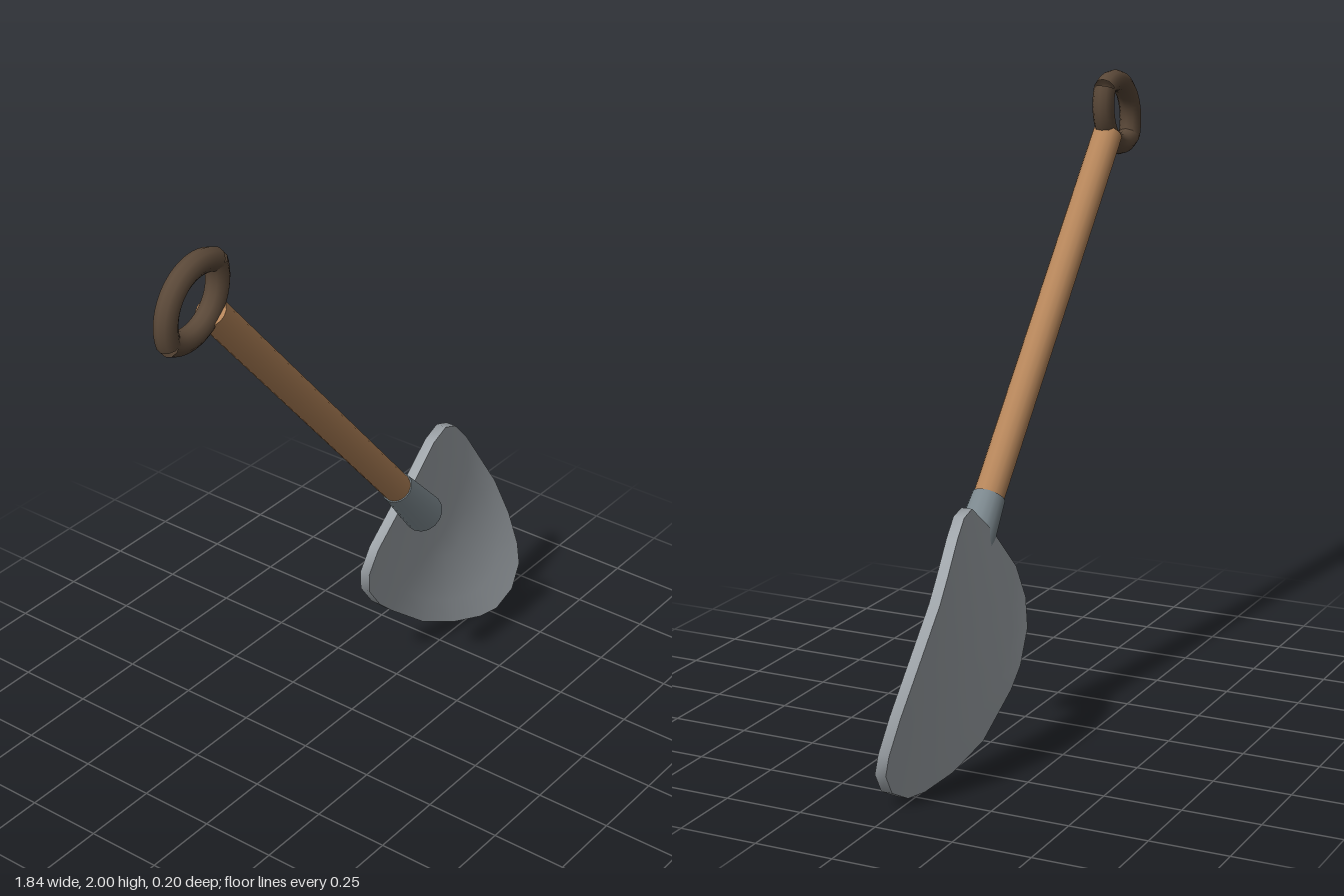
import * as THREE from 'three';
import { toCreasedNormals } from 'three/addons/utils/BufferGeometryUtils.js';

const material = (name, color, side = THREE.FrontSide) => {
  const m = new THREE.MeshStandardMaterial({ color, side });
  m.name = name;
  return m;
};

// Half outline of the blade: [half width, height], from top to tip
const HALF_OUTLINE = [
  [0, 0.41], [0.2, 0.383], [0.278, 0.317], [0.315, 0.23], [0.322, 0.105],
  [0.312, 0.02], [0.277, -0.17], [0.215, -0.305], [0.145, -0.4], [0.09, -0.445], [0, -0.465],
];

// Saddle: the two ends lift forward, the sides fall back
const bladeDepth = (x, y) => -0.05 - 0.03 * y + 0.35 * y * y - 0.3 * x * x;

function bladeGeometry(thickness) {
  const left = HALF_OUTLINE.map(([x, y]) => [-x, y]);
  const right = HALF_OUTLINE.slice(1, -1).reverse();
  const outline = [...left, ...right]; // counter-clockwise from the front
  const n = outline.length;
  // Rings run from the front centre over the rim to the back centre
  const scales = [0, 0.25, 0.5, 0.75, 1, 1, 0.75, 0.5, 0.25, 0];
  const positions = [];
  const index = [];
  scales.forEach((s, i) => {
    const offset = (i < scales.length / 2 ? 0.5 : -0.5) * thickness;
    for (const [x, y] of outline) {
      positions.push(x * s, y * s, bladeDepth(x * s, y * s) + offset);
    }
  });
  for (let i = 0; i < scales.length - 1; i++) {
    for (let j = 0; j < n; j++) {
      const k = (j + 1) % n;
      const a = i * n + j, b = i * n + k, c = b + n, d = a + n;
      if (i < scales.length - 2) index.push(a, d, c);
      if (i > 0) index.push(a, c, b);
    }
  }
  const g = new THREE.BufferGeometry();
  g.setAttribute('position', new THREE.Float32BufferAttribute(positions, 3));
  g.setIndex(index);
  return toCreasedNormals(g, 0.6);
}

export function createModel() {
  const wood = material('wood', 0xb5855a);
  const grip = material('dark grip', 0x5a4838, THREE.DoubleSide);
  const steel = material('blade steel', 0x9fa5aa);
  const collar = material('socket steel', 0x7c888e);

  const model = new THREE.Group();
  model.name = 'shovel';
  const add = (name, geometry, mat, x, y, z) => {
    const mesh = new THREE.Mesh(geometry, mat);
    mesh.name = name;
    mesh.position.set(x, y, z);
    tool.add(mesh);
    return mesh;
  };

  // Everything is built upright around the blade centre, then leaned over
  const tool = new THREE.Group();
  tool.name = 'leaningShovel';
  tool.position.set(0.55, 0.4, 0);
  tool.rotation.z = 0.717;
  model.add(tool);

  add('blade', bladeGeometry(0.036), steel, 0, 0, 0);

  const axisX = -0.012, axisZ = 0.03;
  add('socket', new THREE.CylinderGeometry(0.053, 0.067, 0.23, 16), collar, axisX, 0.408, axisZ);
  add('shaft', new THREE.CylinderGeometry(0.049, 0.049, 1.4, 16), wood, axisX, 1.17, axisZ);

  // Grip: two shallow arcs meeting at pointed sides
  const radius = 0.145, inset = 0.05;
  const half = Math.acos(inset / radius);
  for (const side of [1, -1]) {
    const arc = new THREE.TorusGeometry(radius, 0.036, 10, 20, 2 * half);
    arc.rotateZ(side * Math.PI / 2 - half);
    add(side > 0 ? 'upperGrip' : 'lowerGrip', arc, grip, -0.03, 1.967 - side * inset, axisZ);
  }

  return model;
}
